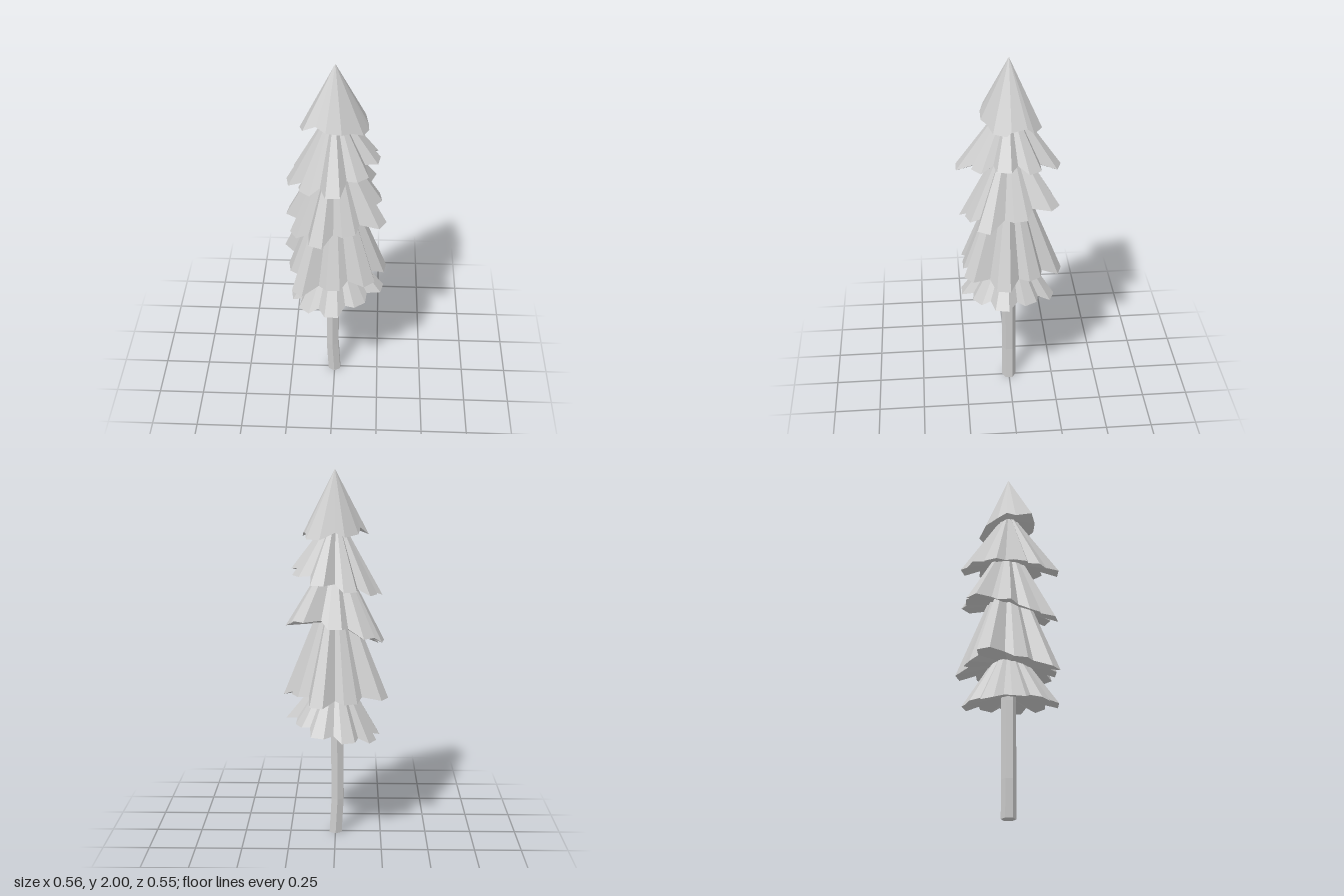
import * as THREE from 'three';

const bark = new THREE.MeshStandardMaterial({ color: 0xcccccc, flatShading: true });
const needles = new THREE.MeshStandardMaterial({ color: 0xcccccc, flatShading: true });

// Faceted hollow cone: a fan from the apex to the rim, closed by a shallow fan underneath
function fanCone(name, apex, hub, rim) {
  const pos = [];
  rim.forEach((p, i) => {
    const q = rim[(i + 1) % rim.length];
    for (const v of [apex, q, p, hub, p, q]) pos.push(...v);
  });
  const geo = new THREE.BufferGeometry();
  geo.setAttribute('position', new THREE.Float32BufferAttribute(pos, 3));
  geo.computeVertexNormals();
  const mesh = new THREE.Mesh(geo, needles);
  mesh.name = name;
  return mesh;
}

// Bough tier: flat-ended lobes, each given as [radius, height], separated by notches
function boughTier({ name, apexY, phase, notch, lobes }) {
  const rim = [];
  const step = (Math.PI * 2) / lobes.length;
  const add = (a, r, y) => rim.push([r * Math.cos(a), y, r * Math.sin(a)]);
  lobes.forEach(([r, y], i) => {
    const a = THREE.MathUtils.degToRad(phase) + i * step;
    const half = Math.atan(0.037 / r);
    const [nextR, nextY] = lobes[(i + 1) % lobes.length];
    add(a - half, r, y);
    add(a + half, r, y);
    add(a + step / 2, notch * (r + nextR) / 2, (y + nextY) / 2 + 0.02);
  });
  const meanY = lobes.reduce((sum, lobe) => sum + lobe[1], 0) / lobes.length;
  return fanCone(name, [0, apexY, 0], [0, meanY + 0.05, 0], rim);
}

export function createModel() {
  const tree = new THREE.Group();
  tree.name = 'tree';

  // Trunk: six-sided post, gently bent
  const levels = [[0, -0.001], [0.2, -0.012], [0.62, -0.009], [0.85, 0]];
  const trunkGeo = new THREE.CylinderGeometry(0.039, 0.039, 3, 6, 3);
  const p = trunkGeo.attributes.position;
  for (let i = 0; i < p.count; i++) {
    const [y, shift] = levels[Math.round(p.getY(i) + 1.5)];
    p.setXYZ(i, p.getX(i) + shift, y, p.getZ(i));
  }
  trunkGeo.computeVertexNormals();
  const trunk = new THREE.Mesh(trunkGeo, bark);
  trunk.name = 'trunk';
  tree.add(trunk);

  // Crown tip: irregular cone, rim points given as x, y, z in turn around the axis
  tree.add(fanCone('crownTip', [0.003, 2, 0], [0, 1.73, 0], [
    [0.173, 1.65, 0.025], [0.147, 1.655, 0.09], [0.09, 1.68, 0.115], [0.04, 1.685, 0.145],
    [-0.04, 1.695, 0.145], [-0.09, 1.72, 0.125], [-0.155, 1.69, 0.115], [-0.175, 1.66, 0.025],
    [-0.13, 1.7, -0.02], [-0.12, 1.67, -0.07], [-0.05, 1.66, -0.13], [0, 1.685, -0.13],
    [0.08, 1.65, -0.16], [0.15, 1.65, -0.115], [0.155, 1.68, -0.08], [0.17, 1.67, 0],
  ]));

  // Bough tiers from top to bottom
  [
    { name: 'upperBoughs', apexY: 1.79, phase: 10, notch: 0.77, lobes: [
      [0.235, 1.48], [0.235, 1.45], [0.278, 1.4], [0.235, 1.36], [0.25, 1.34],
      [0.235, 1.36], [0.235, 1.39], [0.268, 1.43], [0.24, 1.46]] },
    { name: 'middleBoughs', apexY: 1.61, phase: 30, notch: 0.78, lobes: [
      [0.298, 1.15], [0.24, 1.13], [0.27, 1.075], [0.25, 1.06], [0.26, 1.1],
      [0.28, 1.15], [0.235, 1.2], [0.297, 1.24], [0.25, 1.2]] },
    { name: 'lowerBoughs', apexY: 1.49, phase: 10, notch: 0.8, lobes: [
      [0.282, 0.79], [0.3, 0.82], [0.255, 0.79], [0.305, 0.745], [0.25, 0.78],
      [0.306, 0.81], [0.245, 0.8], [0.286, 0.79], [0.25, 0.82]] },
    { name: 'bottomBoughs', apexY: 0.99, phase: 12, notch: 0.84, lobes: [
      [0.27, 0.655], [0.235, 0.635], [0.265, 0.61], [0.245, 0.585], [0.24, 0.57],
      [0.24, 0.565], [0.235, 0.585], [0.25, 0.615], [0.225, 0.645]] },
  ].forEach((spec) => tree.add(boughTier(spec)));

  return tree;
}
